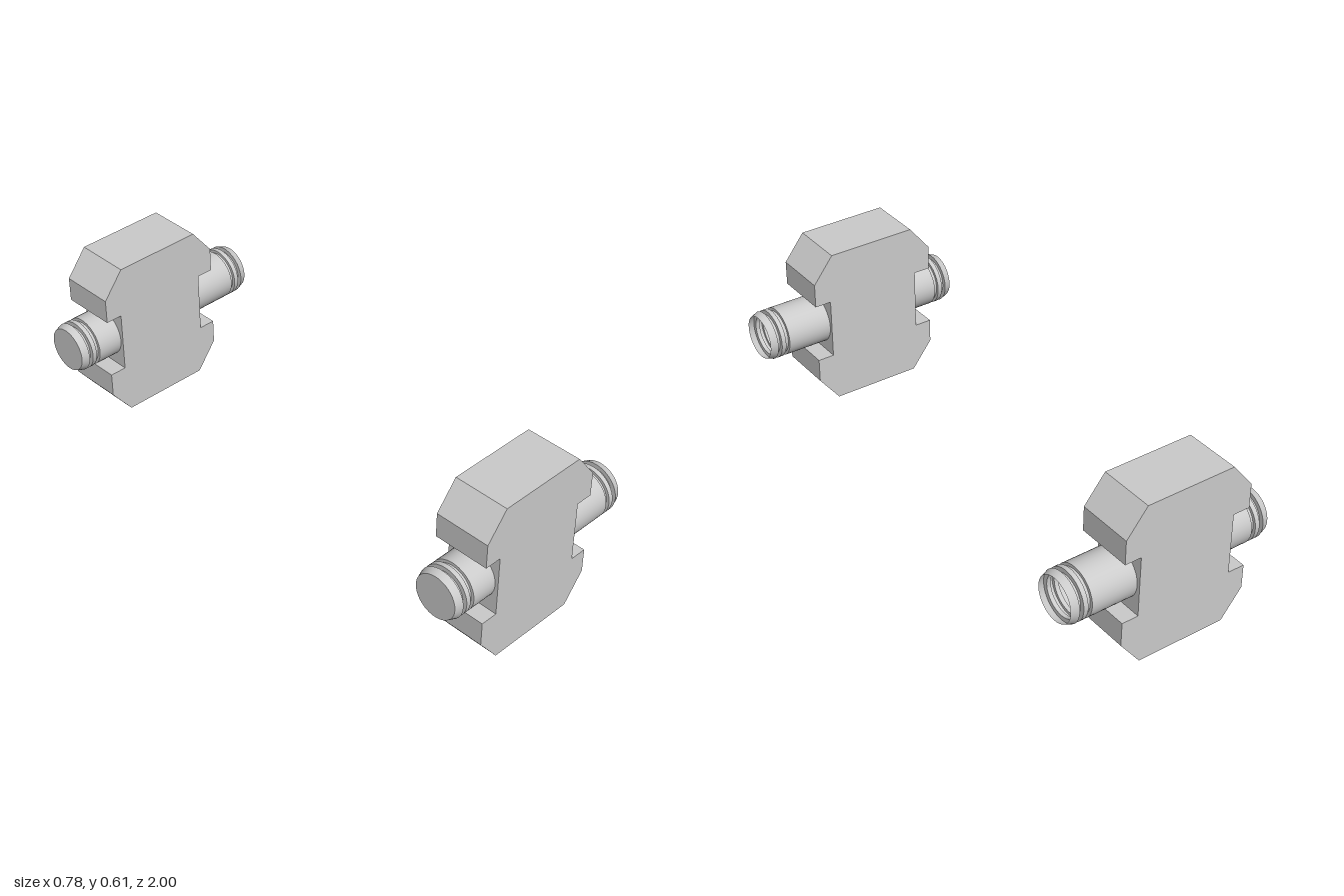
import * as THREE from 'three';
import { toCreasedNormals } from 'three/addons/utils/BufferGeometryUtils.js';

const THICKNESS = 0.206;
const AXIS_Y = 0.304;

// Chamfered plate with a notch in each side where the pin comes out
function blockGeometry() {
  const outline = [
    [-0.205, 0], [0.13, 0], [0.207, 0.1], [0.207, 0.19], [0.145, 0.19],
    [0.145, 0.419], [0.207, 0.419], [0.207, 0.51], [0.13, 0.608],
    [-0.205, 0.608], [-0.283, 0.51], [-0.283, 0.419], [-0.22, 0.419],
    [-0.22, 0.19], [-0.283, 0.19], [-0.283, 0.1],
  ].map(([x, y]) => new THREE.Vector2(x, y));
  const geometry = new THREE.ExtrudeGeometry(new THREE.Shape(outline), {
    depth: THICKNESS, bevelEnabled: false,
  });
  return geometry.translate(0, 0, -THICKNESS / 2);
}

// Hollow pin along x: two grooves and a tapered lip at each end, closed at -x, open at +x
function pinGeometry() {
  const R = 0.091;
  const end = [
    [R, 0.316], [0.08, 0.316], [0.08, 0.331], [R, 0.331], [R, 0.348],
    [0.075, 0.348], [0.075, 0.363], [R, 0.363], [0.081, 0.39],
  ];
  const profile = [
    [0, -0.39],
    ...end.map(([r, x]) => [r, -x]).reverse(),
    ...end,
  ].map(([r, x]) => new THREE.Vector2(r, x));
  const lathe = new THREE.LatheGeometry(profile, 48);
  lathe.rotateZ(-Math.PI / 2);
  return toCreasedNormals(lathe, Math.PI / 9).translate(0, AXIS_Y, 0);
}

export function createModel() {
  const model = new THREE.Group();
  model.name = 'fittingPair';

  const solid = new THREE.MeshStandardMaterial({ color: 0xcccccc });
  const shell = new THREE.MeshStandardMaterial({ color: 0xcccccc, side: THREE.DoubleSide });
  const block = blockGeometry();
  const pin = pinGeometry();

  // Two identical fittings, one at the front and one at the back
  for (const [name, side] of [['frontFitting', 1], ['backFitting', -1]]) {
    const fitting = new THREE.Group();
    fitting.name = name;
    const blockMesh = new THREE.Mesh(block, solid);
    blockMesh.name = 'block';
    const pinMesh = new THREE.Mesh(pin, shell);
    pinMesh.name = 'groovedPin';
    fitting.add(blockMesh, pinMesh);
    fitting.position.z = side * (1 - THICKNESS / 2);
    model.add(fitting);
  }
  return model;
}
